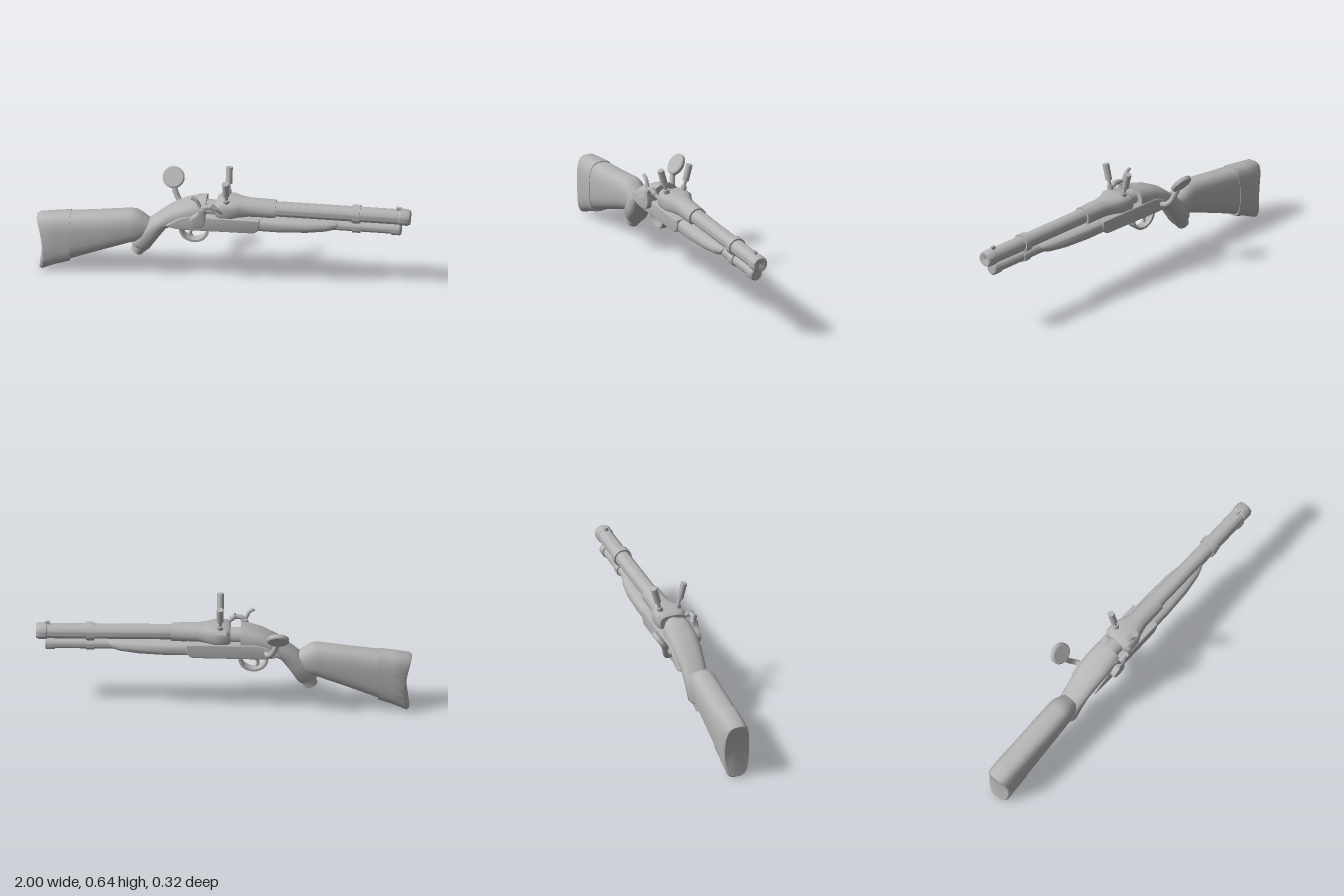
import * as THREE from 'three';
import { toCreasedNormals } from 'three/addons/utils/BufferGeometryUtils.js';

const grey = new THREE.MeshStandardMaterial({ color: 0xb4b4b4 });
grey.name = 'plain grey';

export function createModel() {
  const model = new THREE.Group();
  const gun = new THREE.Group();
  gun.name = 'gun';
  gun.position.z = 0.05; // the side lever reaches far out, so the gun axis sits off centre
  model.add(gun);

  const V = (x, y, z = 0) => new THREE.Vector3(x, y, z);
  const add = (name, geometry) => {
    const mesh = new THREE.Mesh(geometry, grey);
    mesh.name = name;
    gun.add(mesh);
    return mesh;
  };

  // Skin over sections [topX, topY, bottomX, bottomY, halfWidth, squareness, dish]
  function loft(name, sections, n = 32) {
    const pos = [], index = [];
    const ringPoint = ([tx, ty, bx, by, w, e = 2.5, dish = 0], j) => {
      const a = (j / n) * Math.PI * 2, c = Math.cos(a), s = Math.sin(a);
      const p = Math.sign(c) * Math.abs(c) ** (2 / e), q = Math.sign(s) * Math.abs(s) ** (2 / e);
      return [(tx + bx) / 2 + (tx - bx) / 2 * q + dish * (1 - q * q), (ty + by) / 2 + (ty - by) / 2 * q, w * p];
    };
    sections.forEach((s) => { for (let j = 0; j < n; j++) pos.push(...ringPoint(s, j)); });
    for (let i = 0; i < sections.length - 1; i++) {
      for (let j = 0; j < n; j++) {
        const a = i * n + j, b = i * n + (j + 1) % n;
        index.push(a, a + n, b, b, a + n, b + n);
      }
    }
    for (const end of [0, 1]) {
      const s = sections[end ? sections.length - 1 : 0], start = pos.length / 3;
      pos.push((s[0] + s[2]) / 2 + (s[6] || 0), (s[1] + s[3]) / 2, 0);
      for (let j = 0; j < n; j++) pos.push(...ringPoint(s, j));
      for (let j = 0; j < n; j++) {
        const a = start + 1 + j, b = start + 1 + (j + 1) % n;
        index.push(start, end ? b : a, end ? a : b);
      }
    }
    const g = new THREE.BufferGeometry();
    g.setAttribute('position', new THREE.Float32BufferAttribute(pos, 3));
    g.setIndex(index);
    g.computeVertexNormals();
    return add(name, toCreasedNormals(g, 0.7));
  }

  // Round solid along x, from [x, radius] points
  function turned(name, y, points) {
    const g = new THREE.LatheGeometry(points.map(([x, r]) => new THREE.Vector2(r, x)), 32);
    const m = add(name, toCreasedNormals(g, 0.6));
    m.rotation.z = -Math.PI / 2;
    m.position.y = y;
    return m;
  }

  // Cylinder between two points
  function rod(name, a, b, ra, rb = ra) {
    const d = b.clone().sub(a);
    const m = add(name, new THREE.CylinderGeometry(rb, ra, d.length(), 20));
    m.position.copy(a).add(b).multiplyScalar(0.5);
    m.quaternion.setFromUnitVectors(V(0, 1), d.normalize());
    return m;
  }

  // Flat outline with depth along z, starting at z
  function plate(name, shape, z, depth, bevel = 0) {
    const g = new THREE.ExtrudeGeometry(shape, {
      depth: depth - 2 * bevel, curveSegments: 24, bevelEnabled: bevel > 0,
      bevelSize: bevel, bevelThickness: bevel, bevelOffset: -bevel, bevelSegments: 3,
    });
    const m = add(name, toCreasedNormals(g, 0.6));
    m.position.z = z + bevel;
    return m;
  }

  const tube = (name, points, r) =>
    add(name, new THREE.TubeGeometry(new THREE.CatmullRomCurve3(points), 24, r, 12));

  // Butt stock with its slightly larger, dished butt plate
  loft('buttPlate', [
    [-1.0, 0.32, -0.985, 0.012, 0.066, 3, 0.025],
    [-0.985, 0.33, -0.972, 0.003, 0.074, 3, 0.02],
    [-0.9, 0.342, -0.9, 0.036, 0.075, 3],
    [-0.82, 0.352, -0.82, 0.064, 0.075, 3],
  ]);
  loft('buttStock', [
    [-0.84, 0.345, -0.84, 0.068, 0.073, 3],
    [-0.66, 0.366, -0.66, 0.14, 0.073, 2.8],
    [-0.5, 0.388, -0.5, 0.2, 0.071, 2.6],
    [-0.465, 0.386, -0.46, 0.21, 0.068, 2.5],
    [-0.43, 0.365, -0.43, 0.22, 0.06, 2.4],
    [-0.4, 0.345, -0.4, 0.24, 0.05, 2.2],
  ]);

  // Pistol grip sweeping up into the wrist and the rear of the receiver
  loft('gripAndWrist', [
    [-0.495, 0.195, -0.4, 0.16, 0.045, 2.4],
    [-0.48, 0.225, -0.39, 0.175, 0.064, 2.5],
    [-0.43, 0.31, -0.345, 0.245, 0.066, 2.5],
    [-0.375, 0.355, -0.3, 0.31, 0.068, 2.5],
    [-0.29, 0.425, -0.25, 0.335, 0.074, 2.6],
    [-0.2, 0.472, -0.18, 0.335, 0.081, 2.8],
    [-0.13, 0.497, -0.13, 0.335, 0.081, 2.6],
    [-0.09, 0.505, -0.09, 0.336, 0.078, 2.4],
  ]);
  rod('gripCollar', V(-0.435, 0.2), V(-0.455, 0.158), 0.048, 0.04);
  rod('gripPommel', V(-0.45, 0.17), V(-0.466, 0.138), 0.038, 0.034);

  // Receiver, pointed at the back and rounded at the front
  const side = new THREE.Shape();
  side.moveTo(-0.3, 0.352);
  side.quadraticCurveTo(-0.25, 0.334, -0.2, 0.335);
  side.lineTo(0.155, 0.34);
  side.bezierCurveTo(0.2, 0.342, 0.205, 0.38, 0.2, 0.42);
  side.lineTo(-0.17, 0.42);
  side.quadraticCurveTo(-0.23, 0.415, -0.3, 0.352);
  plate('receiver', side, -0.085, 0.17, 0.006);
  rod('hammerWell', V(-0.1, 0.435), V(-0.02, 0.435), 0.045);

  // Breech block that narrows into the barrel sleeve
  loft('breech', [
    [-0.035, 0.49, -0.035, 0.4, 0.07, 3],
    [-0.015, 0.505, -0.015, 0.4, 0.084, 3.2],
    [0.05, 0.508, 0.05, 0.4, 0.084, 3.2],
    [0.09, 0.506, 0.09, 0.4, 0.066, 2.6],
    [0.14, 0.505, 0.14, 0.402, 0.054, 2.1],
    [0.28, 0.503, 0.28, 0.402, 0.052, 2],
  ]);

  // Barrel with muzzle ring, and the tube beneath it
  turned('barrel', 0.454, [[-0.02, 0], [-0.02, 0.041], [0.94, 0.041], [0.945, 0.045],
    [0.985, 0.045], [1.0, 0.038], [1.0, 0.025], [0.985, 0]]);
  turned('magazineTube', 0.38, [[0.15, 0], [0.15, 0.029], [0.9, 0.029], [0.9, 0.035],
    [0.945, 0.035], [0.952, 0.028], [0.952, 0]]);
  const sight = add('frontSight', new THREE.BoxGeometry(0.025, 0.025, 0.015));
  sight.position.set(0.938, 0.5, 0);

  // Band holding barrel and tube together
  turned('barrelBand', 0.454, [[0.69, 0], [0.69, 0.05], [0.733, 0.05], [0.733, 0]]);
  turned('tubeBand', 0.38, [[0.69, 0], [0.69, 0.036], [0.733, 0.036], [0.733, 0]]);

  // Fore-end
  loft('foreEnd', [
    [0.15, 0.42, 0.15, 0.34, 0.078, 3.2],
    [0.3, 0.42, 0.3, 0.337, 0.077, 3],
    [0.45, 0.417, 0.45, 0.342, 0.07, 2.8],
    [0.56, 0.414, 0.55, 0.35, 0.055, 2.5],
    [0.61, 0.412, 0.585, 0.357, 0.042, 2.3],
    [0.622, 0.41, 0.6, 0.365, 0.034, 2.2],
  ]);

  // Trigger and its guard
  const guard = new THREE.Shape().absellipse(-0.157, 0.302, 0.08, 0.075, 0, Math.PI * 2);
  guard.holes.push(new THREE.Path().absellipse(-0.157, 0.304, 0.067, 0.064, 0, Math.PI * 2));
  plate('triggerGuard', guard, -0.024, 0.048);
  tube('trigger', [V(-0.165, 0.35), V(-0.168, 0.305), V(-0.18, 0.27), V(-0.172, 0.255)], 0.009);

  // Side hammer: round lock, curved neck, nose and thumb spur
  const lock = new THREE.Shape();
  lock.moveTo(-0.105, 0.375);
  lock.bezierCurveTo(-0.15, 0.35, -0.185, 0.39, -0.165, 0.42);
  lock.bezierCurveTo(-0.15, 0.445, -0.125, 0.435, -0.125, 0.485);
  lock.lineTo(-0.085, 0.485);
  lock.bezierCurveTo(-0.1, 0.455, -0.07, 0.4, -0.105, 0.375);
  plate('hammerBody', lock, 0.075, 0.037, 0.006);
  tube('hammerNose', [V(-0.115, 0.475, 0.095), V(-0.09, 0.492, 0.095), V(-0.06, 0.497, 0.095)], 0.013);
  rod('hammerHead', V(-0.062, 0.505, 0.095), V(-0.035, 0.482, 0.092), 0.015);
  tube('hammerSpur', [V(-0.105, 0.47, 0.095), V(-0.122, 0.505, 0.093), V(-0.135, 0.53, 0.092),
    V(-0.162, 0.548, 0.092)], 0.01);
  rod('sparkCone', V(-0.04, 0.485, 0.092), V(0, 0.455, 0.07), 0.01, 0.016);

  // Pair of splayed pegs on top of the breech
  for (const s of [-1, 1]) {
    const at = (y) => V(0.02, y, s * (0.048 + (y - 0.5) * 0.27));
    rod('pegCollar', at(0.485), at(0.524), 0.016);
    rod('pegStem', at(0.51), at(0.565), 0.009);
    rod('pegGrip', at(0.555), at(0.642), 0.018);
  }

  // Bent lever on the far side, ending in a tilted disc
  tube('leverArm', [V(-0.225, 0.375, -0.07), V(-0.235, 0.375, -0.105), V(-0.255, 0.395, -0.125),
    V(-0.275, 0.435, -0.138), V(-0.285, 0.465, -0.148)], 0.015);
  const disc = add('leverDisc', toCreasedNormals(new THREE.LatheGeometry(
    [[0, -0.014], [0.052, -0.014], [0.059, -0.008], [0.059, 0.008], [0.052, 0.014], [0, 0.014]]
      .map(([r, y]) => new THREE.Vector2(r, y)), 32), 0.6));
  disc.position.set(-0.29, 0.505, -0.17);
  disc.quaternion.setFromUnitVectors(V(0, 1), V(0, 0.59, 0.81).normalize());

  return model;
}
